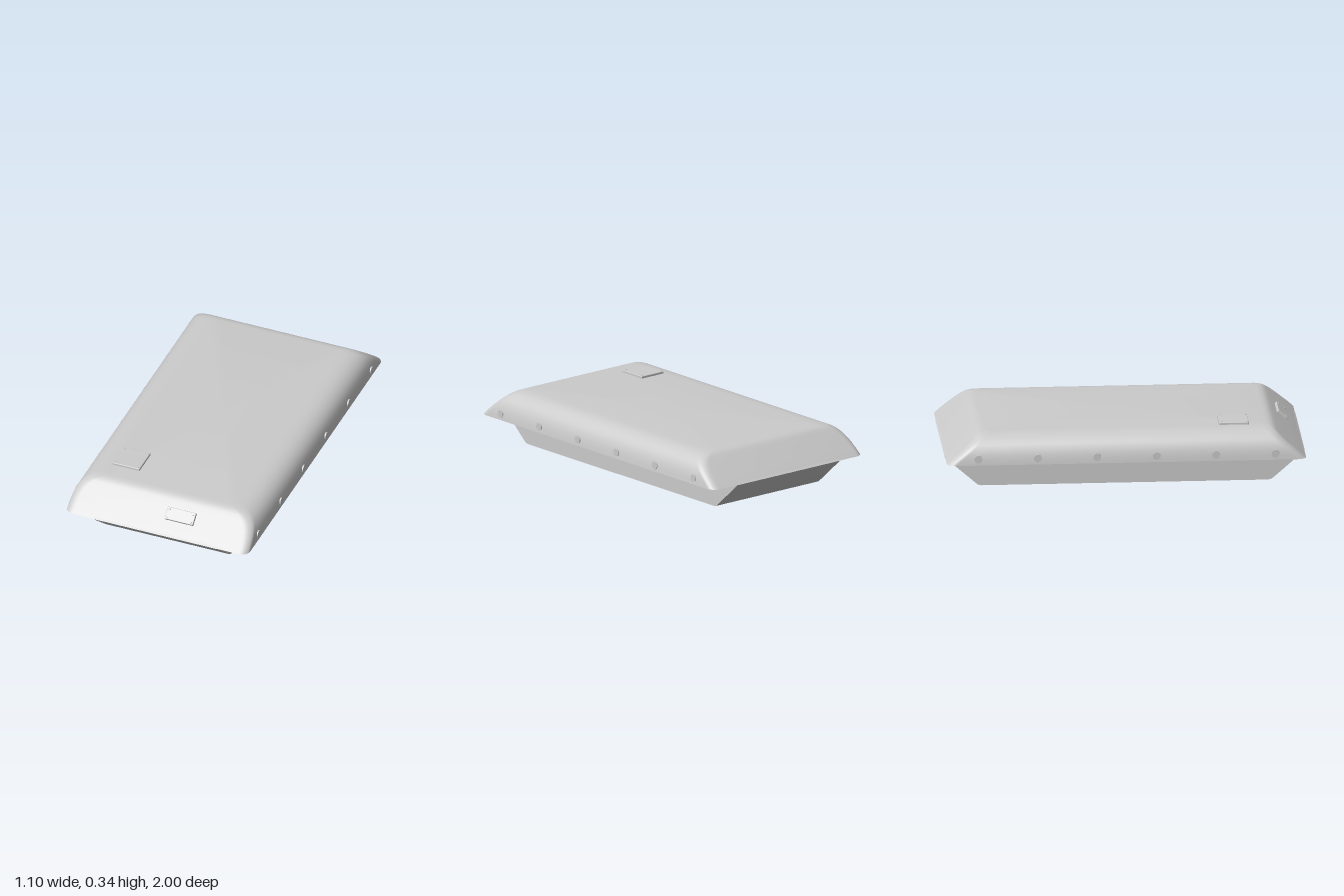
import * as THREE from 'three';
import { toCreasedNormals } from 'three/addons/utils/BufferGeometryUtils.js';
import { RoundedBoxGeometry } from 'three/addons/geometries/RoundedBoxGeometry.js';

const material = new THREE.MeshStandardMaterial({ color: 0xcccccc, side: THREE.DoubleSide });

function mesh(name, geometry, parent) {
  const m = new THREE.Mesh(geometry, material);
  m.name = name;
  parent.add(m);
  return m;
}

// Rounded rectangle outline in the xz plane
function outline(halfX, halfZ, radius, y) {
  const r = Math.min(radius, halfX, halfZ), points = [], steps = 7;
  [[1, 1], [-1, 1], [-1, -1], [1, -1]].forEach(([sx, sz], q) => {
    for (let i = 0; i <= steps; i++) {
      const a = (q + i / steps) * Math.PI / 2;
      points.push([sx * (halfX - r) + r * Math.cos(a), y, sz * (halfZ - r) + r * Math.sin(a)]);
    }
  });
  return points;
}

// Skin over a stack of outlines
function loft(levels) {
  const rings = levels.map(([x, z, y]) => outline(x, z, 0.05, y));
  const n = rings[0].length, index = [];
  for (let i = 0; i < rings.length - 1; i++) {
    for (let j = 0; j < n; j++) {
      const a = i * n + j, b = i * n + (j + 1) % n, c = a + n, d = b + n;
      index.push(a, c, b, b, c, d);
    }
  }
  const g = new THREE.BufferGeometry();
  g.setAttribute('position', new THREE.Float32BufferAttribute(rings.flat(2), 3));
  g.setIndex(index);
  return toCreasedNormals(g, 0.6);
}

// Raised plate with a small screw in each corner
function plate(name, width, height, depth) {
  const group = new THREE.Group();
  group.name = name;
  mesh('plate', new RoundedBoxGeometry(width, height, depth, 2, 0.004), group);
  for (const sx of [-1, 1]) for (const sz of [-1, 1]) {
    const screw = mesh('screw', new THREE.CylinderGeometry(0.005, 0.006, 0.004, 10), group);
    screw.position.set(sx * (width / 2 - 0.014), height / 2 + 0.001, sz * (depth / 2 - 0.014));
  }
  return group;
}

export function createModel() {
  const model = new THREE.Group();
  model.name = 'hull';

  // Upper shell: recessed underside, thin rim, sloped ends and rounded sides
  mesh('upperShell', loft([
    [0, 0, 0.25], [0.522, 0.885, 0.25], [0.538, 0.985, 0.165],
    [0.547, 0.998, 0.165], [0.545, 0.968, 0.192], [0.541, 0.935, 0.22],
    [0.533, 0.902, 0.248], [0.52, 0.873, 0.273], [0.503, 0.852, 0.291],
    [0.483, 0.836, 0.305], [0.46, 0.822, 0.315], [0.43, 0.805, 0.322],
    [0.39, 0.78, 0.325], [0, 0, 0.325],
  ]), model);

  // Lower hull: side profile swept across the width
  const half = 0.372;
  const profile = new THREE.Shape([
    [-1, 0.165], [-0.825, 0.012], [-0.812, 0.003], [-0.795, 0], [0.795, 0], [0.812, 0.003],
    [0.825, 0.012], [1, 0.165], [0.885, 0.25], [-0.885, 0.25],
  ].map(([z, y]) => new THREE.Vector2(z, y)));
  const lower = new THREE.ExtrudeGeometry(profile, { depth: 2 * half, bevelEnabled: false });
  lower.translate(0, 0, -half).rotateY(-Math.PI / 2);
  mesh('lowerHull', toCreasedNormals(lower, 0.6), model);

  // Hatch on the roof
  const hatch = plate('roofHatch', 0.162, 0.024, 0.166);
  hatch.position.set(-0.305, 0.326, 0.606);
  model.add(hatch);

  // Plate on the front slope
  const frontPlate = plate('frontPlate', 0.17, 0.024, 0.072);
  frontPlate.position.set(0.111, 0.252, 0.902);
  frontPlate.rotation.x = 0.71;
  model.add(frontPlate);

  // Round studs along both sides
  for (const side of [-1, 1]) for (let i = 0; i < 6; i++) {
    const stud = mesh('sideStud', new THREE.CylinderGeometry(0.022, 0.022, 0.016, 20), model);
    stud.rotation.z = Math.PI / 2;
    stud.position.set(side * 0.541, 0.2, -0.825 + i * 0.33);
  }
  return model;
}
